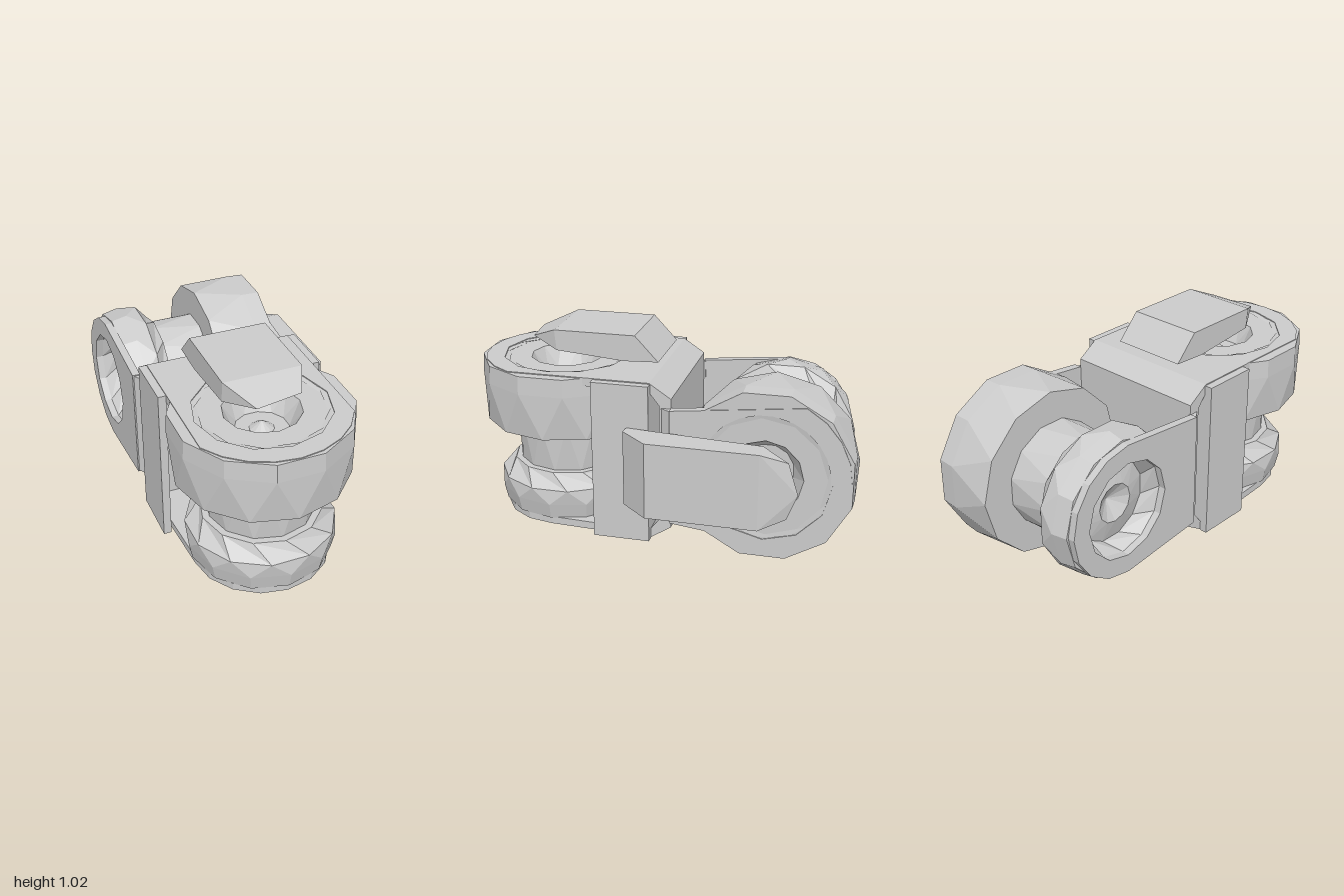
import * as THREE from 'three';
import { ConvexGeometry } from 'three/addons/geometries/ConvexGeometry.js';

const material = new THREE.MeshStandardMaterial({ color: 0xcccccc, flatShading: true });
const SIDES = 12;
const CX = -0.075, CY = 0.4575; // shared joint centre

function add(parent, name, geometry, x = 0, y = 0, z = 0) {
  const mesh = new THREE.Mesh(geometry, material);
  mesh.name = name;
  mesh.position.set(x, y, z);
  parent.add(mesh);
  return mesh;
}

// Box given by its two extreme corners
function block(parent, name, a, b) {
  const size = a.map((v, i) => b[i] - v);
  return add(parent, name, new THREE.BoxGeometry(...size), ...a.map((v, i) => (v + b[i]) / 2));
}

// Faceted turned part; entries are [radius, height, half-step twist]
function drum(parent, name, profile, z) {
  const geo = new THREE.LatheGeometry(profile.map(([r, y]) => new THREE.Vector2(r, y)), SIDES);
  const pos = geo.attributes.position;
  const v = new THREE.Vector3(), up = new THREE.Vector3(0, 1, 0);
  for (let i = 0; i < pos.count; i++) {
    if (!profile[i % profile.length][2]) continue;
    v.fromBufferAttribute(pos, i).applyAxisAngle(up, Math.PI / SIDES);
    pos.setXYZ(i, v.x, v.y, v.z);
  }
  return add(parent, name, geo, 0, 0, z);
}

// Flat arm with a rounded end and a round opening, lying in xz
function armPlate(parent, name, { start, centre, baseHalf, half, radius, hole, bottom, top }) {
  const shape = new THREE.Shape();
  const side = Math.sqrt(Math.max(0, radius * radius - half * half));
  const a0 = Math.atan2(-side, half);
  shape.moveTo(-baseHalf, -start);
  for (let i = 0; i <= 8; i++) {
    const a = Math.PI - a0 + (i / 8) * (Math.PI + 2 * a0);
    shape.lineTo(radius * Math.cos(a), -centre + radius * Math.sin(a));
  }
  shape.lineTo(baseHalf, -start);
  const opening = new THREE.Path();
  for (let i = 0; i < SIDES; i++) {
    const a = (i / SIDES) * Math.PI * 2;
    opening[i ? 'lineTo' : 'moveTo'](hole * Math.sin(a), -centre + hole * Math.cos(a));
  }
  opening.closePath();
  shape.holes.push(opening);
  const geo = new THREE.ExtrudeGeometry(shape, { depth: top - bottom, bevelEnabled: false });
  geo.rotateX(-Math.PI / 2);
  return add(parent, name, geo, 0, bottom, 0);
}

// Stepped pivot: axis along y, reaching out along +z
function joint(name, start, baseHalf) {
  const g = new THREE.Group();
  g.name = name;
  const z = 0.56;
  drum(g, 'largeDrum', [
    [0.25, 0.088, 0], [0.43, 0.088, 0], [0.445, 0.32, 1], [0.44, 0.413, 1], [0.33, 0.413, 1],
    [0.31, 0.405, 0], [0.19, 0.405, 0], [0.13, 0.3, 1], [0.06, 0.3, 0], [0, 0.34, 0],
  ], z);
  drum(g, 'neck', [[0.265, -0.16, 0], [0.275, 0.1, 1]], z);
  drum(g, 'smallDrum', [
    [0, -0.27, 0], [0.1, -0.33, 0], [0.21, -0.3, 1], [0.25, -0.38, 0], [0.355, -0.38, 0],
    [0.372, -0.3, 0], [0.372, -0.22, 1], [0.3, -0.147, 0], [0.2, -0.147, 0],
  ], z);
  armPlate(g, 'largeArmPlate', {
    start, centre: z, baseHalf, half: 0.375, radius: 0.42, hole: 0.33, bottom: 0.375, top: 0.4175,
  });
  armPlate(g, 'smallArmPlate', {
    start, centre: z, baseHalf, half: 0.345, radius: 0.345, hole: 0.25, bottom: -0.4175, top: -0.378,
  });
  g.position.set(CX, CY, 0);
  return g;
}

// Prism extruded from an outline in (u, v)
function prism(outline, depth) {
  const shape = new THREE.Shape(outline.map(([u, v]) => new THREE.Vector2(u, v)));
  return new THREE.ExtrudeGeometry(shape, { depth, bevelEnabled: false });
}

const hull = pts => new ConvexGeometry(pts.map(p => new THREE.Vector3(...p)));

export function createModel() {
  const model = new THREE.Group();
  model.name = 'doublePivotJoint';

  // Front pivot stands upright, rear pivot is the same part turned on its side
  model.add(joint('frontPivot', 0.02, 0.375));
  const rear = joint('rearPivot', 0.09, 0.3);
  rear.quaternion.setFromAxisAngle(new THREE.Vector3(1, 1, 0).normalize(), Math.PI);
  model.add(rear);

  // Front frame: side cheeks and inner wall
  for (const s of [-1, 1]) {
    const x = CX + s * 0.395;
    block(model, 'sideCheek', [x - 0.02, 0.04, 0.015], [x + 0.02, 0.87, 0.305]);
  }
  block(model, 'frontWall', [-0.45, 0.06, 0.015], [0.3, 0.85, 0.035]);
  block(model, 'rearWall', [-0.45, 0.14, -0.09], [0.3, 0.775, -0.03]);

  // Sloped webs joining the front frame to the rear wall
  for (const s of [-1, 1]) {
    const outline = [[-0.02, 0.4175], [0.09, 0.345], [0.09, 0.3], [0.035, 0.3], [-0.02, 0.37]];
    const geo = prism(outline.map(([u, v]) => [u, s * v]), 0.75);
    geo.rotateY(Math.PI / 2);
    add(model, 'slopedWeb', geo, -0.45, CY, 0);
    // Matching short webs to the rear side arms
    const web = prism([[0.36, 0.03], [0.38, 0.045], [0.4175, 0.1], [0.375, 0.1]].map(([u, v]) => [s * u, v]), 0.59);
    web.rotateX(-Math.PI / 2);
    web.translate(0, -0.295, 0);
    add(model, 'sideWeb', web, CX, CY, 0);
  }

  // Floating armour pads
  add(model, 'topPad', hull([
    [-0.27, 1.05, 0.14], [0.12, 1.05, 0.14], [-0.27, 1.05, 0.56], [0.12, 1.05, 0.56],
    [-0.27, 0.922, 0.02], [0.12, 0.922, 0.02], [-0.27, 0.912, 0.2], [0.12, 0.915, 0.2],
    [-0.27, 0.945, 0.55], [0.12, 0.945, 0.55], [-0.17, 0.985, 0.72], [0.06, 0.995, 0.69],
  ]));
  add(model, 'sidePad', hull([
    [0.515, 0.26, -0.01], [0.515, 0.65, -0.01], [0.515, 0.26, -0.56], [0.515, 0.65, -0.56],
    [0.39, 0.26, 0.13], [0.39, 0.65, 0.13], [0.34, 0.26, 0.125], [0.34, 0.65, 0.125],
    [0.405, 0.26, -0.56], [0.405, 0.65, -0.56], [0.46, 0.6, -0.69], [0.46, 0.44, -0.74],
    [0.46, 0.31, -0.69],
  ]));
  return model;
}
